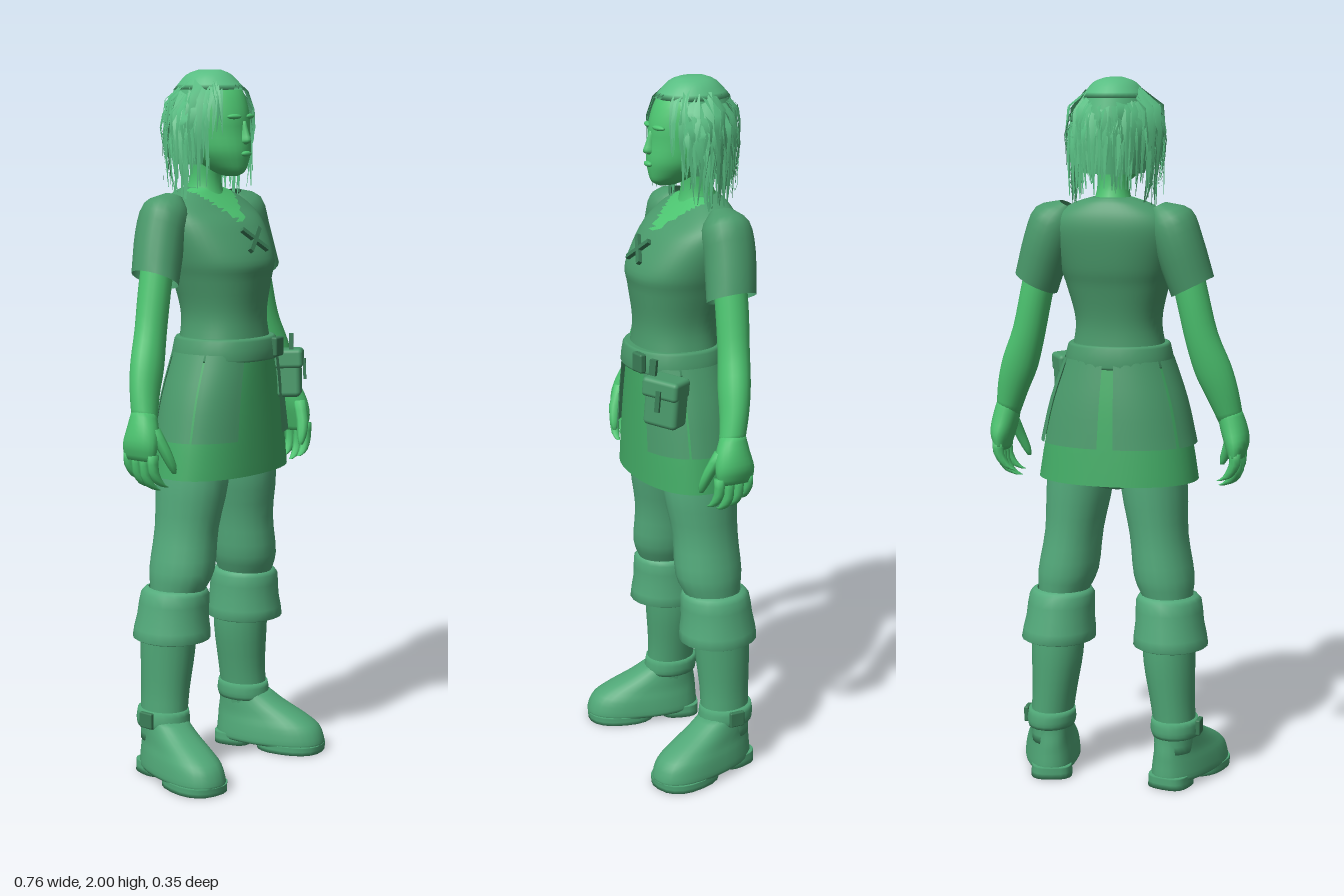
import * as THREE from 'three';
import { mergeVertices } from 'three/addons/utils/BufferGeometryUtils.js';
import { RoundedBoxGeometry } from 'three/addons/geometries/RoundedBoxGeometry.js';

const mat = (name, color, side = THREE.FrontSide) => {
  const m = new THREE.MeshStandardMaterial({ color, side });
  m.name = name;
  return m;
};

// Skin over horizontal oval rings, listed from top to bottom.
// Ring: [x, y, z, half width, depth to the front, depth to the back]
function loft(rings, { seg = 20, sub = 3, tilt = 0, n = 2, a0 = 0, a1 = Math.PI * 2, caps = true, rule = null } = {}) {
  const centre = new THREE.CatmullRomCurve3(rings.map(r => new THREE.Vector3(r[0], r[1], r[2])), false, 'catmullrom', 0.5);
  const radii = new THREE.CatmullRomCurve3(rings.map(r => new THREE.Vector3(r[3], r[4] ?? r[3], r[5] ?? r[4] ?? r[3])), false, 'catmullrom', 0.5);
  const closed = a1 - a0 > 6.28, rows = (rings.length - 1) * sub, w = closed ? seg : seg + 1;
  const pos = [], faces = [[], []];
  const pow = v => Math.sign(v) * Math.abs(v) ** (2 / n);
  for (let i = 0; i <= rows; i++) {
    const c = centre.getPoint(i / rows), r = radii.getPoint(i / rows);
    for (let j = 0; j < w; j++) {
      const a = a0 + (a1 - a0) * j / seg, s = pow(Math.sin(a)), k = pow(Math.cos(a));
      pos.push(c.x + s * r.x, c.y + s * r.x * tilt, c.z + k * (k > 0 ? r.y : r.z));
    }
  }
  for (let i = 0; i < rows; i++) for (let j = 0; j < seg; j++) {
    const p = i * w + j, q = i * w + (j + 1) % w;
    for (const f of [[p, p + w, q], [q, p + w, q + w]]) {
      const m = [0, 1, 2].map(d => f.reduce((t, v) => t + pos[v * 3 + d] / 3, 0));
      faces[rule && rule(...m) ? 1 : 0].push(...f);
    }
  }
  if (closed && caps) for (const [row, end] of [[0, 0], [rows, 1]]) {
    const c = centre.getPoint(end), id = pos.length / 3;
    pos.push(c.x, c.y, c.z);
    for (let j = 0; j < seg; j++) {
      const p = row * w + j, q = row * w + (j + 1) % seg;
      faces[0].push(...(end ? [id, q, p] : [id, p, q]));
    }
  }
  const g = new THREE.BufferGeometry();
  g.setAttribute('position', new THREE.Float32BufferAttribute(pos, 3));
  g.setIndex([...faces[0], ...faces[1]]);
  if (rule) {
    g.addGroup(0, faces[0].length, 0);
    g.addGroup(faces[0].length, faces[1].length, 1);
  }
  g.computeVertexNormals();
  return g;
}

export function createModel() {
  const model = new THREE.Group();
  model.name = 'adventurer';
  const skin = mat('skin green', 0x4cc470), tunic = mat('tunic green', 0x4a9a6b, THREE.DoubleSide);
  const skirtMat = mat('skirt green', 0x43ac66, THREE.DoubleSide), pants = mat('trouser green', 0x53aa7b, THREE.DoubleSide);
  const boot = mat('boot green', 0x4fa676), hair = mat('hair green', 0x58bd82, THREE.DoubleSide);
  const dark = mat('strap green', 0x3a7c56);

  const add = (name, geo, m, p = [0, 0, 0], r = [0, 0, 0]) => {
    const mesh = new THREE.Mesh(geo, m);
    mesh.name = name;
    mesh.position.set(...p);
    mesh.rotation.set(...r);
    model.add(mesh);
    return mesh;
  };
  // Adds a left part and its mirrored right twin
  const pair = (name, geo, m, p, r) => {
    const left = add(name + 'Left', geo, m, p, r);
    left.updateMatrix();
    const g = (geo.index ? geo.clone() : mergeVertices(geo)).applyMatrix4(left.matrix);
    for (const k of ['position', 'normal']) {
      const t = g.attributes[k];
      for (let i = 0; i < t.count; i++) t.setX(i, -t.getX(i));
    }
    const ix = g.index;
    for (let i = 0; i < ix.count; i += 3) {
      const b = ix.getX(i + 1);
      ix.setX(i + 1, ix.getX(i + 2));
      ix.setX(i + 2, b);
    }
    add(name + 'Right', g, m);
  };

  // Head, face and neck
  add('head', loft([[0, 1.99, -.05, .02, .03, .03], [0, 1.978, -.05, .055, .06, .065], [0, 1.94, -.05, .083, .1, .1],
    [0, 1.88, -.045, .09, .118, .11], [0, 1.83, -.04, .088, .116, .1], [0, 1.78, -.03, .08, .112, .08],
    [0, 1.745, -.012, .058, .09, .06], [0, 1.72, .01, .034, .06, .04], [0, 1.708, .02, .012, .03, .02]], { seg: 28 }), skin);
  add('nose', loft([[0, 1.86, .066, .008, .012], [0, 1.825, .07, .011, .02], [0, 1.805, .07, .015, .027], [0, 1.795, .068, .008, .012]], { seg: 10 }), skin);
  add('lips', new THREE.SphereGeometry(.02, 12, 8).scale(1, .4, .5), skin, [0, 1.77, .081]);
  pair('brow', new THREE.SphereGeometry(.024, 12, 8).scale(1, .3, .4), skin, [.034, 1.872, .066], [0, .3, 0]);
  pair('ear', new THREE.SphereGeometry(.025, 10, 8).scale(.4, 1, .7), skin, [.092, 1.83, -.05]);
  add('neck', loft([[0, 1.79, -.06, .052, .05, .05], [0, 1.71, -.065, .044], [0, 1.66, -.07, .055], [0, 1.63, -.07, .08, .07, .06]]), skin);

  // Hair cap and layered strands
  const capRings = [[0, 2, -.05, .022, .035, .035], [0, 1.985, -.05, .06, .065, .07], [0, 1.945, -.05, .09, .106, .108]];
  add('hairCap', loft(capRings, { seg: 28 }), hair);
  add('hairBack', loft([capRings[2], [0, 1.88, -.05, .1, .11, .118], [0, 1.8, -.05, .1, .1, .11], [0, 1.74, -.06, .085, .08, .09]],
    { seg: 24, a0: 1, a1: Math.PI * 2 - 1 }), hair);
  let seed = 11;
  const rnd = () => (seed = (seed * 16807) % 2147483647) / 2147483647;
  const hp = [], hi = [];
  const strand = (a, width, profile) => {
    const base = hp.length / 3, twist = (rnd() - .5) * 1.2;
    profile.forEach(([r, y], i) => {
      const b = a + (rnd() - .5) * .12;
      const half = width * (1 - i / (profile.length - 1) * .92) / 2;
      for (const s of [-half, half]) {
        const out = s * Math.sin(twist);
        hp.push(Math.sin(b) * (r + out) + Math.cos(b) * s, y, -.05 + Math.cos(b) * (r + out) * 1.02 - Math.sin(b) * s);
      }
      if (i) {
        const k = base + i * 2;
        hi.push(k - 2, k, k - 1, k - 1, k, k + 1);
      }
    });
  };
  for (let i = 0; i < 170; i++) {
    const a = .95 + rnd() * (Math.PI * 2 - 1.9), side = Math.abs(Math.sin(a));
    const top = 1.9 + rnd() * .075, end = 1.69 + rnd() * .13 - side * .03, swell = rnd() * .025 * side;
    const root = Math.sqrt(Math.max(0, 1 - ((top - 1.88) / .12) ** 2)) * .1;
    strand(a, .018 + rnd() * .018, [[root, top], [.11 + swell, top - .05], [.115 + swell * 1.2, (top + end) / 2], [.1 + swell + rnd() * .02, end]]);
  }
  // Long locks beside the neck and a short fringe
  for (let i = 0; i < 16; i++) {
    const a = (i % 2 ? 1 : -1) * (1.35 + rnd() * .8);
    strand(a, .025, [[.1, 1.88], [.125, 1.8], [.115, 1.71], [.1 + rnd() * .02, 1.62 + rnd() * .04]]);
  }
  for (let i = 0; i < 14; i++) {
    const a = (i % 2 ? 1 : -1) * (.55 + rnd() * .45);
    strand(a, .02, [[.06, 1.98], [.104, 1.94], [.122, 1.89], [.122, 1.85 - rnd() * .05]]);
  }
  const strands = new THREE.BufferGeometry();
  strands.setAttribute('position', new THREE.Float32BufferAttribute(hp, 3));
  strands.setIndex(hi);
  strands.computeVertexNormals();
  add('hairStrands', strands, hair);

  // Tunic with open neckline and crossed lace
  add('tunic', loft([[0, 1.675, -.075, .055, .045, .05], [0, 1.657, -.075, .11, .06, .065], [0, 1.62, -.07, .165, .095, .085],
    [0, 1.57, -.06, .177, .14, .098], [0, 1.48, -.03, .16, .162, .115], [0, 1.42, -.02, .142, .148, .108],
    [0, 1.32, -.005, .121, .122, .105], [0, 1.22, 0, .137, .128, .115]],
    { seg: 48, sub: 5, n: 2.25, rule: (x, y, z) => z > -.07 && Math.abs(x) < (y - 1.575) * .95 }), [tunic, skin]);
  for (const s of [-1, 1]) add('lace', new THREE.BoxGeometry(.1, .013, .012), dark, [0, 1.535, .112], [-.5, 0, s * .72]);

  // Sleeves, arms and hands
  pair('sleeve', loft([[.13, 1.653, -.075, .02, .03, .03], [.162, 1.615, -.07, .058, .065, .07], [.19, 1.54, -.07, .062, .07, .075],
    [.225, 1.43, -.06, .058, .07, .07]], { tilt: .5, caps: false }), tunic);
  pair('arm', loft([[.195, 1.53, -.065, .045], [.225, 1.4, -.062, .044, .046], [.25, 1.29, -.055, .045, .044], [.28, 1.2, -.042, .05, .044],
    [.305, 1.13, -.03, .044, .04], [.328, 1.05, -.012, .033, .036]], { tilt: .3 }), skin);
  pair('palm', loft([[.322, 1.08, -.017, .034, .034], [.335, 1.03, -.01, .037, .048, .05], [.345, .985, -.01, .033, .054, .06],
    [.345, .945, -.01, .02, .045, .055]], { tilt: .2 }), skin);
  for (let i = 0; i < 4; i++) {
    const z = .035 - i * .029, drop = [0, -.012, -.006, .012][i];
    pair('finger', loft([[.346, .965, z, .017, .015], [.345, .92 + drop, z, .016, .014], [.325, .885 + drop, z + .005, .014, .012],
      [.3, .872 + drop, z + .008, .007, .006]], { seg: 8, sub: 2 }), skin);
  }
  pair('thumb', loft([[.328, 1.035, .02, .02], [.313, .98, .045, .018], [.296, .935, .057, .014], [.287, .91, .06, .006]], { seg: 8, sub: 2 }), skin);

  // Belt, buckle, skirt and split overskirt
  add('belt', loft([[0, 1.262, 0, .137, .135, .118], [0, 1.255, 0, .145, .144, .126], [0, 1.205, 0, .155, .15, .133], [0, 1.198, 0, .148, .14, .126]],
    { seg: 32, n: 2.2, sub: 2 }), tunic);
  add('buckle', new RoundedBoxGeometry(.045, .055, .02, 2, .006), dark, [.065, 1.232, .142], [0, .15, 0]);
  const skirtRings = o => [[0, 1.22, 0, .143 + o, .132 + o, .118 + o], [0, 1.1, 0, .185 + o, .132 + o, .14 + o], [0, .98, 0, .213 + o, .133 + o, .155 + o]];
  add('skirt', loft([...skirtRings(0), [0, .875, 0, .23, .134, .166]], { seg: 40, caps: false, n: 2.2 }), skirtMat);
  for (const [a0, a1] of [[.42, 1.2], [1.24, 2.1], [2.16, 3.06]])
    pair('overskirtPanel', loft(skirtRings(.012), { seg: 10, a0, a1, n: 2.2 }), tunic);

  // Belt pouch
  const pr = [-.04, .6, -.05];
  add('pouch', new RoundedBoxGeometry(.105, .13, .07, 3, .014), tunic, [.165, 1.14, .108], pr);
  add('pouchFlap', new RoundedBoxGeometry(.112, .055, .082, 3, .012), tunic, [.165, 1.185, .108], pr);
  add('pouchStrap', new THREE.BoxGeometry(.014, .06, .008), dark, [.19, 1.155, .145], pr);
  add('pouchLoop', new THREE.BoxGeometry(.02, .07, .012), dark, [.14, 1.225, .135], pr);

  // Trousers with flared cuffs
  add('hips', loft([[0, 1.1, -.01, .14, .1, .1], [0, .95, -.02, .19, .1, .11], [0, .87, -.025, .12, .08, .09], [0, .85, -.025, .05, .05, .05]]), pants);
  pair('trouserLeg', loft([[.1, .97, -.025, .09, .1, .11], [.11, .85, -.025, .094, .108, .11], [.125, .72, -.03, .083, .092, .1],
    [.142, .6, -.035, .086, .095, .1], [.155, .53, -.045, .07, .078, .08], [.163, .45, -.055, .07, .075, .08]]), pants);
  pair('cuff', loft([[.155, .55, -.045, .075, .078, .085], [.158, .535, -.045, .093, .095, .105], [.162, .47, -.05, .098, .1, .11],
    [.166, .405, -.055, .107, .113, .116], [.166, .403, -.055, .085, .085, .09]], { caps: false, sub: 2 }), pants);

  // Boots: shaft, ankle strap, splayed foot with sole and heel
  pair('bootShaft', loft([[.165, .45, -.065, .075, .08, .085], [.166, .36, -.07, .074, .08, .082], [.175, .25, -.07, .064, .07, .077],
    [.183, .17, -.07, .06, .07, .074], [.185, .1, -.07, .055, .07, .074]]), boot);
  pair('ankleStrap', loft([[.183, .195, -.072, .066, .075, .08], [.184, .165, -.072, .07, .08, .084], [.185, .145, -.072, .066, .08, .08]], { sub: 2 }), boot);
  pair('strapBuckle', new RoundedBoxGeometry(.014, .045, .045, 2, .004), dark, [.255, .172, -.075]);
  const at = [.185, 0, -.07], splay = [0, .26, 0];
  pair('foot', loft([[0, .17, .0, .056, .07, .074], [0, .135, .03, .06, .1, .105], [0, .1, .08, .066, .12, .16],
    [0, .07, .11, .075, .13, .192], [0, .03, .12, .081, .135, .205], [0, .018, .12, .076, .13, .2]], { seg: 28, n: 2.3 }), boot, at, splay);
  pair('sole', loft([[0, .025, .15, .08, .105, .1], [0, 0, .15, .08, .103, .1]], { n: 2.4 }), boot, at, splay);
  pair('heel', loft([[0, .035, -.025, .058, .055, .062], [0, 0, -.025, .06, .055, .062]], { n: 3 }), boot, at, splay);
  return model;
}
